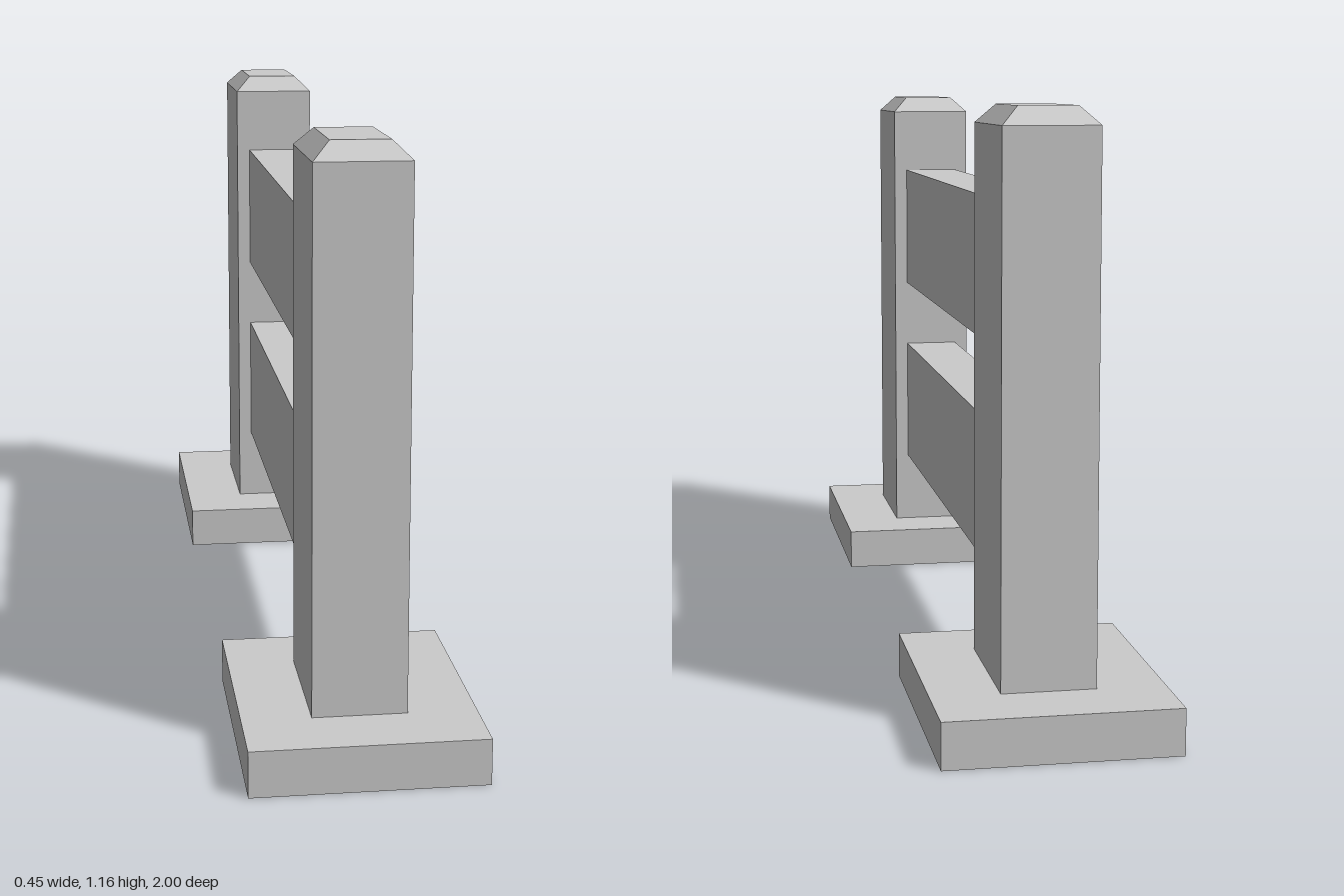
import * as THREE from 'three';

const material = new THREE.MeshStandardMaterial({ color: 0xcccccc, flatShading: true });

// Box given by its width, depth, vertical span and centre z
function block(name, width, depth, y0, y1, z) {
  const geometry = new THREE.BoxGeometry(width, y1 - y0, depth);
  const mesh = new THREE.Mesh(geometry, material);
  mesh.name = name;
  mesh.position.set(0, (y0 + y1) / 2, z);
  return mesh;
}

// Pull the top corners of a box inward to bevel it
function bevelTop(mesh, inset) {
  const p = mesh.geometry.attributes.position;
  for (let i = 0; i < p.count; i++) {
    if (p.getY(i) < 0) continue;
    p.setX(i, p.getX(i) - Math.sign(p.getX(i)) * inset);
    p.setZ(i, p.getZ(i) - Math.sign(p.getZ(i)) * inset);
  }
  mesh.geometry.computeVertexNormals();
  return mesh;
}

export function createModel() {
  const model = new THREE.Group();
  model.name = 'fence';

  // Two posts, each on a foot plate with a bevelled cap
  for (const [side, s] of [['front', 1], ['back', -1]]) {
    const post = new THREE.Group();
    post.name = side + 'Post';
    post.add(
      block('footPlate', 0.448, 0.553, 0, 0.09, s * 0.7235),
      block('postShaft', 0.182, 0.285, 0.09, 1.13, s * 0.722),
      bevelTop(block('postCap', 0.182, 0.285, 1.13, 1.165, s * 0.722), 0.035)
    );
    model.add(post);
  }

  // Two rails spanning between the posts
  model.add(
    block('lowerRail', 0.122, 1.16, 0.255, 0.545, 0),
    block('upperRail', 0.122, 1.16, 0.7, 0.985, 0)
  );
  return model;
}
